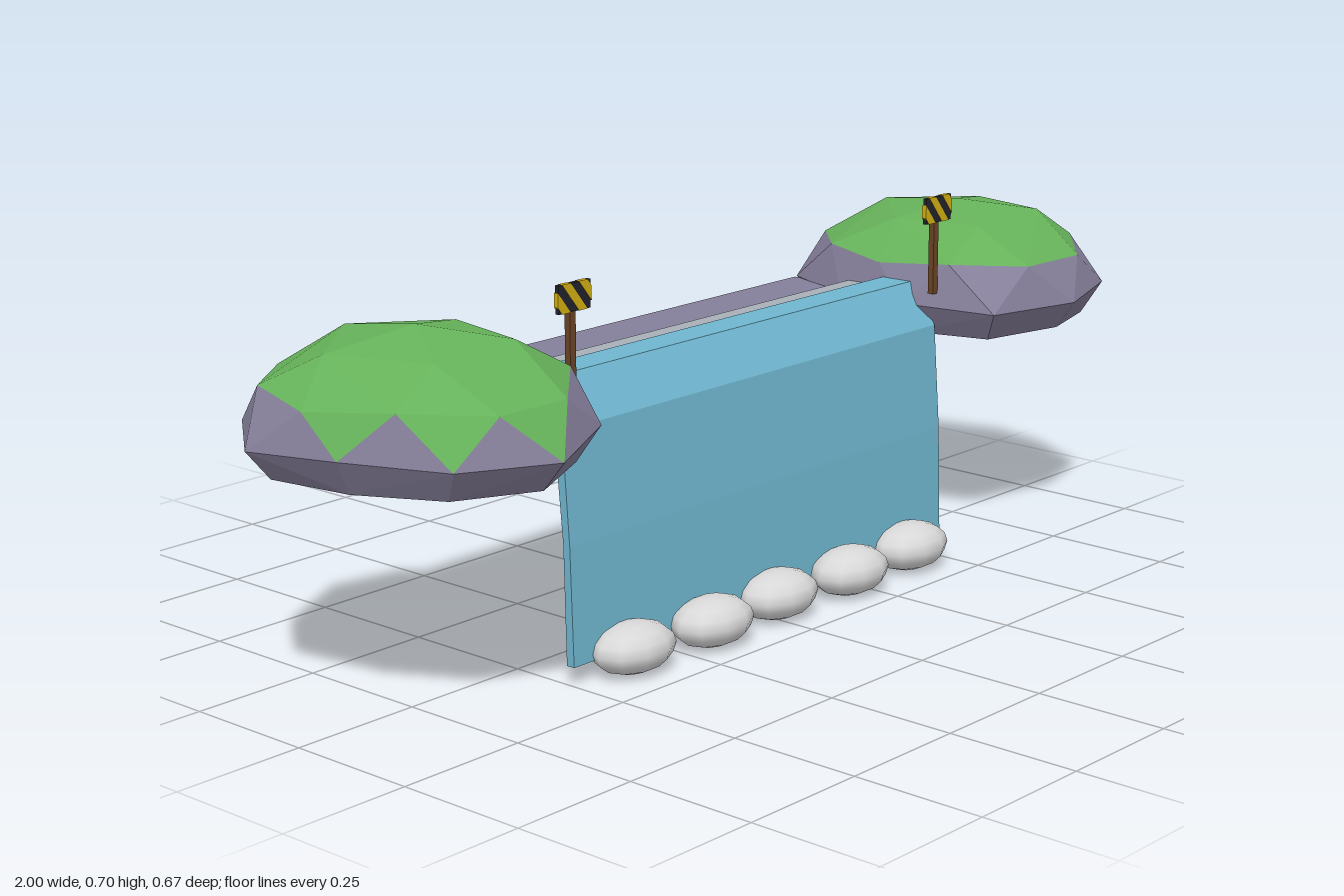
import * as THREE from 'three';
import { ConvexGeometry } from 'three/addons/geometries/ConvexGeometry.js';

const material = (name, color) => {
  const m = new THREE.MeshStandardMaterial({ color });
  m.name = name;
  return m;
};

export function createModel() {
  const mats = {
    rock: material('rock purple', 0x857f9a),
    grass: material('grass green', 0x66b25a),
    water: material('water blue', 0x70b6d0),
    bed: material('stream bed grey', 0xa9b1b8),
    stone: material('pale stone', 0xd8d8d8),
    wood: material('post brown', 0x6b4526),
    black: material('sign black', 0x22222c),
    yellow: material('sign yellow', 0xd4b012),
  };
  const model = new THREE.Group();
  model.name = 'waterfall';

  const add = (parent, name, geometry, mat, x = 0, y = 0, z = 0) => {
    const mesh = new THREE.Mesh(geometry, mat);
    mesh.name = name;
    mesh.position.set(x, y, z);
    parent.add(mesh);
    return mesh;
  };
  const shapeOf = (pts) => new THREE.Shape(pts.map(([a, b]) => new THREE.Vector2(a, b)));

  // Extrudes a [z, y] profile along x
  const prism = (profile, x0, x1) => {
    const g = new THREE.ExtrudeGeometry(shapeOf(profile), { depth: x1 - x0, bevelEnabled: false });
    return g.rotateY(-Math.PI / 2).translate(x1, 0, 0);
  };

  // Falling water: a bent sheet with a flat lip on top
  add(model, 'waterSheet', prism([
    [0.137, 0.035], [0.13, 0.25], [0.115, 0.45], [0.065, 0.53], [0, 0.53],
    [0, 0.512], [0.055, 0.512], [0.097, 0.44], [0.115, 0.25], [0.12, 0.035],
  ], -0.5, 0.525), mats.water);

  // Stream bed behind the lip
  add(model, 'streamBed', prism([
    [0.05, 0.484], [0.05, 0.511], [0, 0.514], [-0.09, 0.509], [-0.1, 0.5], [-0.1, 0.484],
  ], -0.49, 0.515), mats.bed);

  // Rock ledge with chamfered edges
  add(model, 'ledge', prism([
    [0.095, 0.432], [0.095, 0.475], [0.085, 0.486], [-0.255, 0.486],
    [-0.27, 0.474], [-0.27, 0.446], [-0.258, 0.432],
  ], -0.52, 0.55), mats.rock);

  // Faceted boulder: rings scaled from the plan outline, upper faces grassy
  const boulder = (name, outline, [cx, cz], top, isGrass) => {
    const n = outline.length;
    const pts = [new THREE.Vector3(cx, top, cz)];
    const ring = (f, y, wobble, half, step = 1) => {
      for (let i = 0; i < n; i += step) {
        const [ax, az] = outline[i];
        const [bx, bz] = outline[(i + half) % n];
        pts.push(new THREE.Vector3(
          cx + ((ax + bx) / 2 - cx) * f,
          y + wobble * Math.sin(i * 2.4),
          cz + ((az + bz) / 2 - cz) * f));
      }
    };
    ring(0.86, 0.427, 0, 0);
    ring(1, 0.485, 0.006, 0);
    ring(0.91, 0.562, 0.008, 1);
    ring(0.54, 0.628, 0.005, 0, 2);

    const hull = new ConvexGeometry(pts).attributes.position;
    const faces = { rock: [], grass: [] };
    const v = [0, 1, 2].map(() => new THREE.Vector3());
    for (let i = 0; i < hull.count; i += 3) {
      v.forEach((p, k) => p.fromBufferAttribute(hull, i + k));
      const mid = v[0].clone().add(v[1]).add(v[2]).divideScalar(3);
      const list = isGrass(mid) ? faces.grass : faces.rock;
      v.forEach((p) => list.push(p.x, p.y, p.z));
    }
    const group = new THREE.Group();
    group.name = name;
    model.add(group);
    for (const key of ['rock', 'grass']) {
      const g = new THREE.BufferGeometry();
      g.setAttribute('position', new THREE.Float32BufferAttribute(faces[key], 3));
      g.computeVertexNormals();
      add(group, key === 'rock' ? 'boulderBase' : 'boulderGrass', g, mats[key]);
    }
  };
  boulder('rightBoulder', [
    [-0.715, -0.325], [-0.9, -0.23], [-1, -0.105], [-0.97, 0.08], [-0.88, 0.25],
    [-0.715, 0.33], [-0.535, 0.24], [-0.44, 0.08], [-0.455, -0.1], [-0.52, -0.24],
  ], [-0.72, 0], 0.656, (p) => p.y > (p.z > 0.05 && p.x < -0.65 ? 0.526 : 0.55));
  boulder('leftBoulder', [
    [0.75, -0.335], [0.55, -0.25], [0.505, -0.1], [0.49, 0.06], [0.545, 0.24],
    [0.745, 0.285], [0.905, 0.24], [1, 0.065], [0.985, -0.08], [0.905, -0.25],
  ], [0.745, 0], 0.65, (p) => p.y > 0.55);

  // Smooth stones along the foot of the water
  [-0.375, -0.18, 0.012, 0.207, 0.402].forEach((x, i) => {
    const g = new THREE.SphereGeometry(1, 10, 8).scale(0.088, 0.045, 0.064);
    add(model, 'footStone', g, mats.stone, x, 0.046, i % 2 ? 0.168 : 0.158);
  });

  // Warning signs: post, dark board and diagonal stripes showing on both sides
  const stripes = [
    [[0.01, -0.025], [0.03, -0.025], [-0.01, 0.025], [-0.03, 0.025]],
    [[0.04, -0.0125], [0.04, 0.0125], [0.03, 0.025], [0.01, 0.025]],
    [[-0.04, 0.0125], [-0.04, -0.0125], [-0.03, -0.025], [-0.01, -0.025]],
  ];
  for (const x of [-0.482, 0.51]) {
    const sign = new THREE.Group();
    sign.name = 'warningSign';
    sign.position.set(x, 0, 0.12);
    model.add(sign);
    add(sign, 'post', new THREE.BoxGeometry(0.014, 0.175, 0.012), mats.wood, 0, 0.6025, 0);
    add(sign, 'board', new THREE.BoxGeometry(0.076, 0.049, 0.008), mats.black, 0, 0.68, 0.007);
    for (const s of stripes) {
      const g = new THREE.ExtrudeGeometry(shapeOf(s), { depth: 0.0096, bevelEnabled: false });
      add(sign, 'boardStripe', g, mats.yellow, 0, 0.68, 0.0022);
    }
  }
  return model;
}
